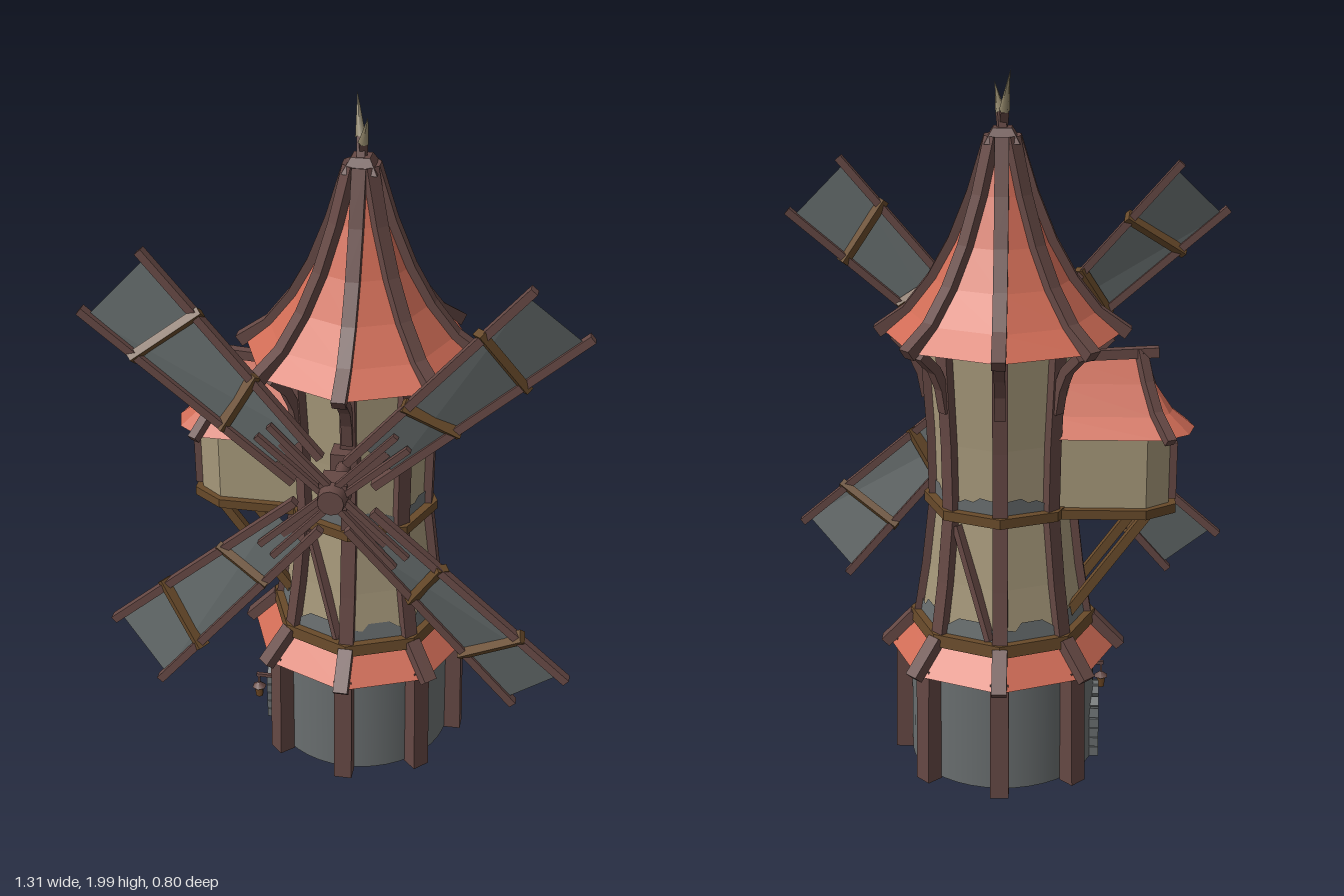
import * as THREE from 'three';

const mat = (name, color, double = true) => {
  const m = new THREE.MeshStandardMaterial({ color });
  m.name = name;
  if (double) m.side = THREE.DoubleSide;
  return m;
};
const V = (x, y, z) => new THREE.Vector3(x, y, z);

export function createModel() {
  const roofRed = mat('roof red', 0xd06c56), plaster = mat('plaster', 0xa6987a);
  const stone = mat('stone grey', 0x696e6f), timber = mat('timber', 0x654844);
  const band = mat('band brown', 0x684a2a), cloth = mat('sail cloth', 0x626969);
  const wood = mat('door wood', 0x6e4824), horn = mat('horn', 0x8f8468);

  const model = new THREE.Group();
  const tower = new THREE.Group();
  tower.name = 'tower';
  tower.position.set(0.01, 0, -0.055);
  model.add(tower);

  const add = (parent, name, geo, m, x = 0, y = 0, z = 0) => {
    const mesh = new THREE.Mesh(geo, m);
    mesh.name = name;
    mesh.position.set(x, y, z);
    parent.add(mesh);
    return mesh;
  };
  const box = (parent, name, m, w, h, d, x, y, z) =>
    add(parent, name, new THREE.BoxGeometry(w, h, d), m, x, y, z);
  // straight timber between two points
  const beam = (parent, name, m, a, b, w, h = w) => {
    const mesh = new THREE.Mesh(new THREE.BoxGeometry(w, h, a.distanceTo(b)), m);
    mesh.name = name;
    mesh.position.copy(a).lerp(b, 0.5);
    mesh.lookAt(b);
    parent.add(mesh);
    return mesh;
  };
  const flat = (geo) => {
    const g = geo.index ? geo.toNonIndexed() : geo;
    g.computeVertexNormals();
    return g;
  };
  // eight-sided shell with corners on the axes
  const octagon = (name, m, profile) =>
    add(tower, name, flat(new THREE.LatheGeometry(profile.map(p => new THREE.Vector2(...p)), 8)), m);
  // curved timber following a radius/height profile
  const rib = (parent, name, m, profile, thick, width, angle) => {
    const pts = profile.map(p => new THREE.Vector2(...p));
    const side = s => pts.map((p, i) => {
      const d = pts[Math.min(i + 1, pts.length - 1)].clone().sub(pts[Math.max(i - 1, 0)]).normalize();
      return new THREE.Vector2(p.x - d.y * s * thick / 2, p.y + d.x * s * thick / 2);
    });
    const geo = new THREE.ExtrudeGeometry(new THREE.Shape([...side(1), ...side(-1).reverse()]),
      { depth: width, bevelEnabled: false });
    geo.translate(0, 0, -width / 2);
    const mesh = add(parent, name, geo, m);
    mesh.rotation.y = angle;
    return mesh;
  };
  const polygon = (points) => {
    const pos = [];
    for (let i = 1; i < points.length - 1; i++)
      for (const p of [points[0], points[i], points[i + 1]]) pos.push(p.x, p.y, p.z);
    const g = new THREE.BufferGeometry();
    g.setAttribute('position', new THREE.Float32BufferAttribute(pos, 3));
    g.computeVertexNormals();
    return g;
  };

  // main shells
  const wall = [[0.245, 0.42], [0.216, 0.6], [0.193, 0.8], [0.197, 1.0], [0.215, 1.31]];
  const roof = [[0.328, 1.285], [0.26, 1.345], [0.19, 1.435], [0.132, 1.54], [0.08, 1.67], [0.034, 1.82]];
  add(tower, 'base wall', new THREE.CylinderGeometry(0.265, 0.268, 0.34, 40, 1, true), stone, 0, 0.185, 0);
  octagon('skirt roof', roofRed, [[0.262, 0.355], [0.328, 0.345], [0.25, 0.43]]);
  octagon('tower wall', plaster, wall);
  octagon('main roof', roofRed, roof);
  octagon('lower band', band, [[0.24, 0.42], [0.27, 0.42], [0.266, 0.455], [0.235, 0.455]]);
  octagon('middle band', band, [[0.19, 0.787], [0.223, 0.787], [0.223, 0.815], [0.19, 0.815]]);

  // timbers on the eight corners
  for (let i = 0; i < 8; i++) {
    const a = i * Math.PI / 4;
    rib(tower, 'wall post', timber, wall, 0.03, 0.042, a);
    rib(tower, 'roof rib', timber, [[0.345, 1.285], ...roof.slice(1)], 0.034, 0.038, a);
    rib(tower, 'skirt rib', timber, [[0.342, 0.345], [0.255, 0.437]], 0.03, 0.042, a);
    rib(tower, 'eave bracket', timber, [[0.212, 1.1], [0.225, 1.17], [0.25, 1.225], [0.3, 1.275]], 0.026, 0.03, a);
    if (i !== 4) rib(tower, 'base post', timber, [[0.29, 0.01], [0.283, 0.36]], 0.05, 0.052, a);
  }

  // panel details: bare stone patches and diagonal braces
  const radius = (y) => {
    const i = Math.max(1, wall.findIndex(p => p[1] >= y));
    const [a, b] = [wall[i - 1], wall[i]];
    return a[0] + (b[0] - a[0]) * (y - a[1]) / (b[1] - a[1]);
  };
  const onPanel = (i, u, y, out) => {
    const r = radius(y), a = i * Math.PI / 4, b = a + Math.PI / 4, mid = a + Math.PI / 8;
    return V(r * (Math.cos(a) * (1 - u) + Math.cos(b) * u) + out * Math.cos(mid), y,
      r * (Math.sin(a) * (1 - u) + Math.sin(b) * u) + out * Math.sin(mid));
  };
  const low = [[0.1, 0.45], [0.9, 0.45], [0.9, 0.49], [0.75, 0.483], [0.65, 0.505], [0.3, 0.505], [0.1, 0.48]];
  const high = [[0.1, 0.81], [0.9, 0.81], [0.9, 0.855], [0.6, 0.86], [0.5, 0.845], [0.3, 0.85], [0.1, 0.835]];
  for (let i = 0; i < 8; i++)
    for (const patch of [low, high])
      add(tower, 'stone patch', polygon(patch.map(([u, y]) => onPanel(i, i % 2 ? u : 1 - u, y, 0.004))), stone);
  for (const [i, top, bottom] of [[2, 0.85, 0.15], [6, 0.85, 0.15]])
    beam(tower, 'diagonal brace', timber, onPanel(i, top, 0.77, 0.002), onPanel(i, bottom, 0.46, 0.002), 0.03, 0.02);

  // roof cap and horns
  const cap = add(tower, 'roof cap', flat(new THREE.CylinderGeometry(0.036, 0.068, 0.04, 4)), timber, 0, 1.825, 0);
  cap.rotation.y = Math.PI / 4;
  for (const [x, y, z] of [[-0.022, 2.0, -0.055], [0.022, 1.96, 0.035]]) {
    const curve = new THREE.QuadraticBezierCurve3(V(0, 1.83, -z * 0.3), V(x * 0.1, 1.88, z * 0.3), V(x, y, z));
    const p = curve.getPoint(0.45), d = V(x, y, z).sub(p);
    beam(tower, 'horn root', timber, curve.getPoint(0), p, 0.022);
    const tip = add(tower, 'horn tip', new THREE.ConeGeometry(0.015, d.length(), 5), horn);
    tip.position.copy(p).addScaledVector(d, 0.5);
    tip.quaternion.setFromUnitVectors(V(0, 1, 0), d.clone().normalize());
  }

  // arched door and lantern on the right side
  const door = new THREE.Group();
  door.name = 'door';
  door.position.set(-0.262, 0, 0);
  door.rotation.y = -Math.PI / 2;
  tower.add(door);
  const arch = new THREE.Shape();
  arch.moveTo(-0.055, 0.02).lineTo(0.055, 0.02).lineTo(0.055, 0.13).absarc(0, 0.13, 0.055, 0, Math.PI);
  add(door, 'door leaf', new THREE.ExtrudeGeometry(arch, { depth: 0.008, bevelEnabled: false }), wood);
  for (const s of [-1, 1])
    for (let k = 0; k < 4; k++) box(door, 'door stone', stone, 0.026, 0.028, 0.04, s * 0.066, 0.03 + k * 0.031, 0);
  for (let k = 0; k < 7; k++) {
    const a = (k + 0.5) * Math.PI / 7;
    box(door, 'arch stone', stone, 0.026, 0.027, 0.04, 0.066 * Math.cos(a), 0.137 + 0.066 * Math.sin(a), 0).rotation.z = a;
  }
  beam(tower, 'lantern arm', timber, V(-0.23, 0.215, 0.13), V(-0.3, 0.215, 0.13), 0.01);
  beam(tower, 'lantern chain', timber, V(-0.293, 0.215, 0.13), V(-0.293, 0.18, 0.13), 0.006);
  add(tower, 'lantern', new THREE.CylinderGeometry(0.015, 0.011, 0.035, 6), wood, -0.293, 0.155, 0.13);
  add(tower, 'lantern cap', new THREE.ConeGeometry(0.022, 0.018, 6), timber, -0.293, 0.18, 0.13);

  // bay room on the right side
  const bay = new THREE.Group();
  bay.name = 'bay';
  bay.position.set(0, 0, -0.07);
  model.add(bay);
  const plan = (grow, y, h) => {
    const half = [[-0.12, 0.1 + grow], [-0.39, 0.1 + grow], [-0.455 - grow, 0.05 + grow / 2]];
    const pts = [...half, ...half.map(([x, z]) => [x, -z]).reverse()].map(p => new THREE.Vector2(...p));
    const g = new THREE.ExtrudeGeometry(new THREE.Shape(pts), { depth: h, bevelEnabled: false });
    return g.rotateX(-Math.PI / 2).translate(0, y, 0);
  };
  add(bay, 'bay wall', plan(0, 0.8, 0.24), plaster);
  add(bay, 'bay floor band', plan(0.02, 0.785, 0.027), band);
  box(bay, 'bay window', stone, 0.008, 0.13, 0.075, -0.459, 0.905, 0);
  for (const s of [-1, 1]) {
    box(bay, 'window side', timber, 0.022, 0.165, 0.014, -0.465, 0.905, s * 0.042);
    box(bay, 'window rail', timber, 0.022, 0.014, 0.09, -0.465, 0.905 + s * 0.07, 0);
    beam(bay, 'bay support', band, V(-0.4, 0.79, s * 0.07), V(-0.17, 0.47, s * 0.07), 0.026);
  }
  box(bay, 'window bar', timber, 0.016, 0.13, 0.008, -0.463, 0.905, 0);

  // bay roof: eave, middle and ridge loops
  const halfEave = [[-0.12, 0.13], [-0.43, 0.13], [-0.505, 0.075]];
  const eave = [...halfEave, [-0.525, 0], ...halfEave.map(([x, z]) => [x, -z]).reverse()];
  const loop = (t, h) => eave.map(([x, z]) => V(x + (Math.max(x, -0.37) - x) * t, 1.02 + 0.2 * h, z * (1 - t)));
  const loops = [loop(0, 0), loop(0.4, 0.25), loop(0.75, 0.65), loop(1, 1)];
  for (let k = 0; k < 3; k++)
    for (let i = 0; i < eave.length - 1; i++)
      add(bay, 'bay roof', polygon([loops[k][i], loops[k][i + 1], loops[k + 1][i + 1], loops[k + 1][i]]), roofRed);
  const fall = [[0.165, 1.02], [0.09, 1.08], [0.04, 1.155], [0, 1.24]];
  for (const s of [-1, 1])
    rib(bay, 'bay roof rib', timber, fall, 0.025, 0.028, Math.atan2(-s * 0.145, -0.08)).position.x = -0.37;
  beam(bay, 'bay ridge', timber, V(-0.42, 1.235, 0), V(-0.15, 1.22, 0), 0.028);

  // shaft, hub and sails
  const rotor = new THREE.Group();
  rotor.name = 'sails';
  rotor.position.set(0.005, 1.045, 0.34);
  model.add(rotor);
  const shaft = add(rotor, 'shaft', new THREE.CylinderGeometry(0.02, 0.02, 0.3, 10), timber, 0, 0, -0.14);
  shaft.rotation.x = Math.PI / 2;
  box(rotor, 'shaft bearing', timber, 0.075, 0.075, 0.06, 0, 0, -0.175);
  box(rotor, 'hub block', timber, 0.075, 0.075, 0.075, 0, 0, -0.025);
  const knob = add(rotor, 'hub knob', new THREE.CylinderGeometry(0.036, 0.042, 0.04, 12), timber, 0, 0, 0.025);
  knob.rotation.x = Math.PI / 2;
  for (let i = 0; i < 4; i++) {
    const sail = new THREE.Group();
    sail.name = 'sail';
    sail.rotation.z = Math.PI / 4 + i * Math.PI / 2;
    rotor.add(sail);
    const edge = (r, s, z = 0) => {
      const t = (r - 0.1) / 0.7;
      return V(r, s * (0.05 + 0.052 * t), s * (0.008 + 0.024 * t) + z);
    };
    add(sail, 'sail cloth', polygon([edge(0.17, -1), edge(0.785, -1), edge(0.785, 1), edge(0.17, 1)]), cloth);
    for (const s of [-1, 1]) {
      beam(sail, 'sail rail', timber, edge(0.1, s), edge(0.81, s), 0.026, 0.022);
      beam(sail, 'sail strut', timber, V(0.03, s * 0.015, 0.008), V(0.26, s * 0.024, 0.014), 0.017);
    }
    beam(sail, 'sail arm', timber, V(0.02, 0, -0.01), V(0.2, 0, -0.01), 0.024);
    for (const [r, skew] of [[0.36, 0.02], [0.61, -0.02]])
      beam(sail, 'sail crossbar', band, edge(r + skew, -1.18), edge(r - skew, 1.18), 0.022, 0.036);
  }
  return model;
}
